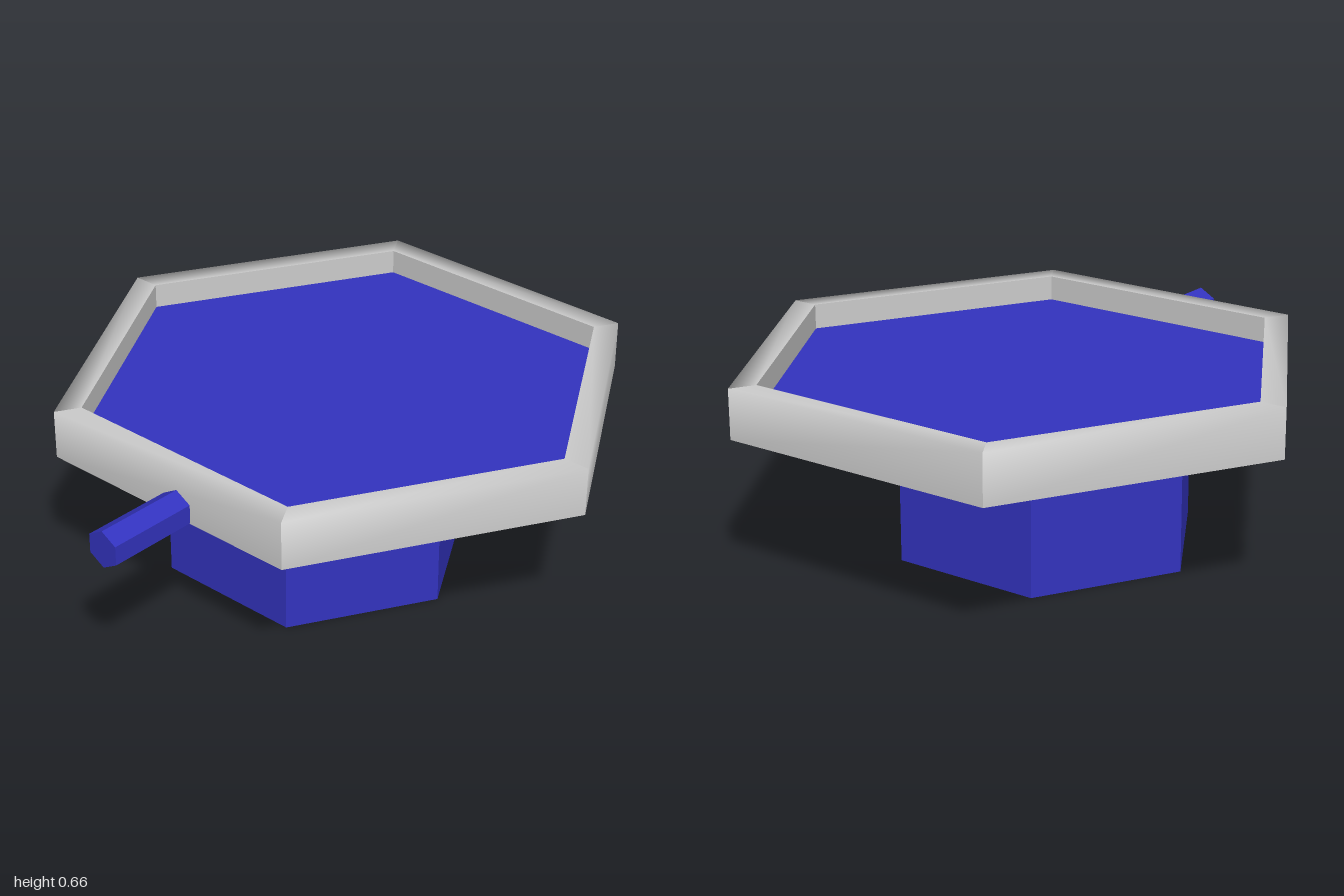
import * as THREE from 'three';

const grey = new THREE.MeshStandardMaterial({ color: 0xcccccc });
const greyFlat = new THREE.MeshStandardMaterial({ color: 0xcccccc, flatShading: true });
const blue = new THREE.MeshStandardMaterial({ color: 0x3333bf, flatShading: true });

const RIM_R = 0.975, INNER_R = 0.885, BOTTOM = 0.495, FLOOR = 0.575, TOP = 0.66;

function part(name, geometry, material, x = 0, y = 0, z = 0) {
  const mesh = new THREE.Mesh(geometry, material);
  mesh.name = name;
  mesh.position.set(x, y, z);
  return mesh;
}

// Hexagonal prism with corners on +x and -x
const hexPrism = (r, h, open = false) =>
  new THREE.CylinderGeometry(r, r, h, 6, 1, open, Math.PI / 6);

// Hexagonal face with corners on +x and -x, facing up or down
const hexFace = (r, up) => new THREE.CircleGeometry(r, 6).rotateX(up ? -Math.PI / 2 : Math.PI / 2);

// One straight side of the rim, swept through [radius, height] profile points
function rimSide(profile, side) {
  const positions = [], index = [];
  profile.forEach(([r, y], i) => {
    for (let k = 0; k < 2; k++) {
      const a = (side + k) * Math.PI / 3;
      positions.push(r * Math.cos(a), y, -r * Math.sin(a));
    }
    if (i > 0) {
      const p = 2 * (i - 1);
      index.push(p, p + 1, p + 3, p, p + 3, p + 2);
    }
  });
  const g = new THREE.BufferGeometry();
  g.setAttribute('position', new THREE.Float32BufferAttribute(positions, 3));
  g.setIndex(index);
  g.computeVertexNormals();
  return g;
}

export function createModel() {
  const model = new THREE.Group();
  model.name = 'hexagonalTray';

  // Pedestal, set slightly off centre
  model.add(part('pedestal', hexPrism(0.52, BOTTOM), blue, -0.04, BOTTOM / 2, -0.07));

  // Tray: softly shaded rim, crisp inner wall, coloured floor, grey underside
  const tray = new THREE.Group();
  tray.name = 'tray';
  tray.position.z = -0.156;
  for (let i = 0; i < 6; i++) {
    tray.add(part('rimSide', rimSide([[RIM_R, BOTTOM], [RIM_R, TOP], [INNER_R, TOP]], i), grey));
    tray.add(part('innerWall', rimSide([[INNER_R, TOP], [INNER_R, FLOOR]], i), greyFlat));
  }
  tray.add(part('trayFloor', hexFace(INNER_R, true), blue, 0, FLOOR, 0));
  tray.add(part('trayUnderside', hexFace(RIM_R, false), greyFlat, 0, BOTTOM, 0));
  model.add(tray);

  // Handle poking out of the front edge
  const bar = new THREE.CylinderGeometry(0.064, 0.064, 0.38, 6).rotateX(Math.PI / 2);
  model.add(part('handle', bar, blue, 0.055, 0.53, 0.81));

  return model;
}
